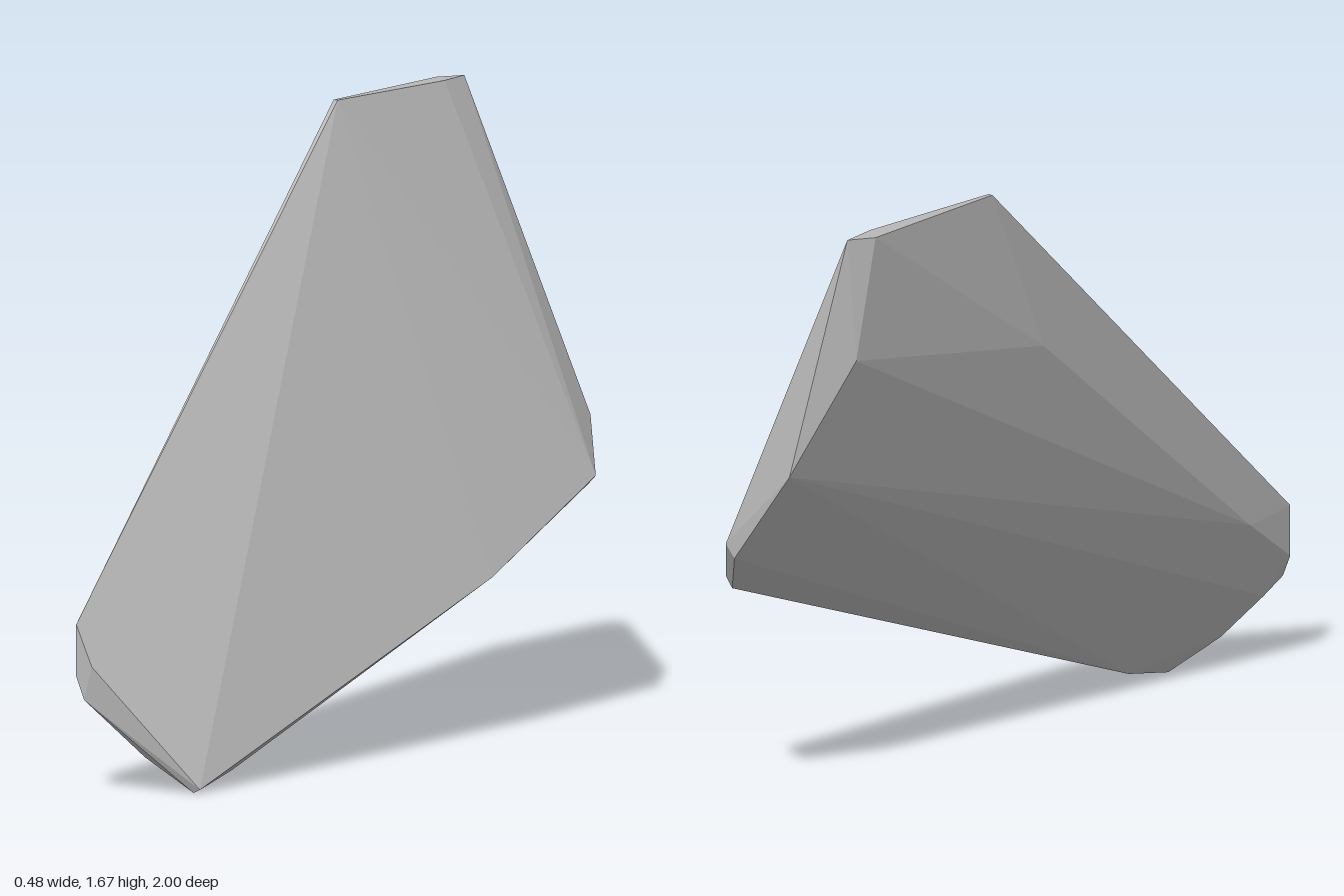
import * as THREE from 'three';
import { ConvexGeometry } from 'three/addons/geometries/ConvexGeometry.js';

// A thin, tilted stone shard: the convex solid spanned by its chipped corners.
export function createModel() {
  const model = new THREE.Group();
  model.name = 'stoneShard';

  const stone = new THREE.MeshStandardMaterial({ color: 0xb8b8b8 });
  stone.name = 'greyStone';

  // Broad outer face, facing left
  const outerFace = [
    [-0.23, 1.67, -0.36], [-0.19, 1.67, -0.8], [-0.2, 1.67, -0.905],
    [0.14, 0.78, -1], [0.24, 0.64, -0.88], [0.24, 0.43, -0.4],
    [0.15, 0.01, 0.83], [-0.08, 0.34, 1], [-0.13, 0.45, 1],
  ];
  // Broad inner face, facing right
  const innerFace = [
    [-0.243, 1.67, -0.36], [-0.243, 1.67, -0.84], [-0.243, 1.2, -0.15],
    [-0.21, 1.33, -0.88], [-0.08, 1.01, -1], [-0.16, 0.45, 0.8],
  ];
  // Chipped lower rim, from the back corner to the front tip
  const lowerRim = [
    [0.11, 0.745, -1], [0.21, 0.615, -0.89], [0.1, 0.03, 0.61],
    [0.09, 0, 0.76], [0.13, 0, 0.83], [0, 0.09, 0.87],
    [-0.08, 0.2, 0.95], [-0.105, 0.25, 1], [-0.13, 0.31, 1],
  ];

  const corners = [...outerFace, ...innerFace, ...lowerRim]
    .map((p) => new THREE.Vector3(...p));
  const shard = new THREE.Mesh(new ConvexGeometry(corners), stone);
  shard.name = 'shard';
  model.add(shard);
  return model;
}
